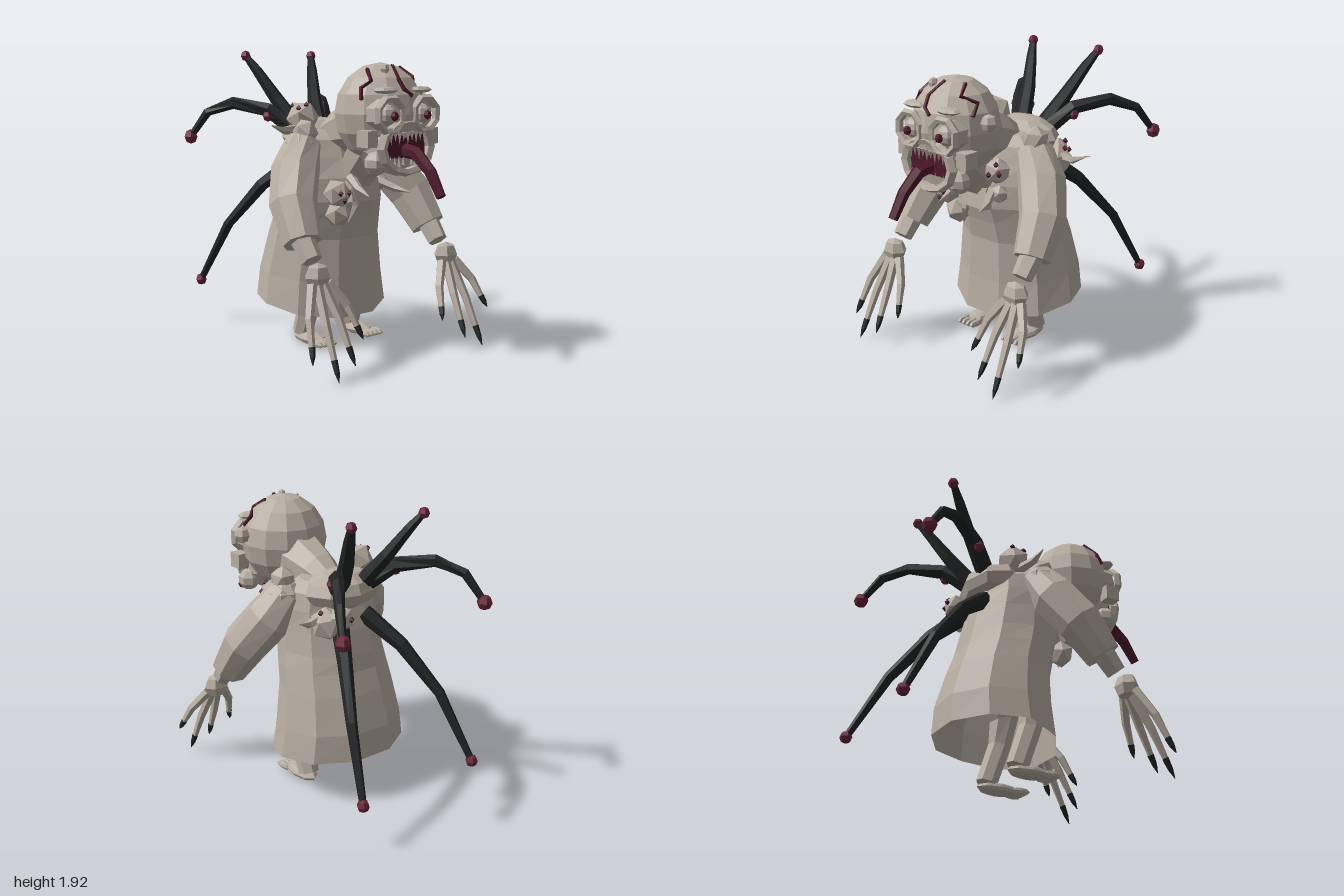
import * as THREE from 'three';

const mat = (name, color) => Object.assign(
  new THREE.MeshStandardMaterial({ color, flatShading: true, side: THREE.DoubleSide }), { name });
const V = (p) => new THREE.Vector3(...p);

// Skin over a list of rings, closed at both ends if asked
function loft(rings, capped = true) {
  const n = rings[0].length, pos = [], idx = [];
  rings.forEach((r) => r.forEach((p) => pos.push(p.x, p.y, p.z)));
  for (let i = 0; i < rings.length - 1; i++) for (let j = 0; j < n; j++) {
    const a = i * n + j, b = i * n + (j + 1) % n;
    idx.push(a, b, b + n, a, b + n, a + n);
  }
  const last = (rings.length - 1) * n;
  for (let j = 1; j < n - 1; j++) {
    if (capped) idx.push(0, j + 1, j);
    idx.push(last, last + j, last + j + 1);
  }
  const g = new THREE.BufferGeometry();
  g.setAttribute('position', new THREE.Float32BufferAttribute(pos, 3));
  g.setIndex(idx);
  g.computeVertexNormals();
  return g;
}

// Tapered tube along points, one radius per point
function limb(points, radii, sides = 6) {
  const pts = points.map(V);
  return loft(pts.map((p, i) => {
    const t = pts[Math.min(i + 1, pts.length - 1)].clone().sub(pts[Math.max(i - 1, 0)]).normalize();
    const ref = Math.abs(t.x) > 0.9 ? V([0, 1, 0]) : V([1, 0, 0]);
    const b = t.clone().cross(ref).normalize(), nrm = b.clone().cross(t);
    return Array.from({ length: sides }, (_, j) => {
      const a = (j + 0.5) / sides * Math.PI * 2;
      return p.clone().addScaledVector(nrm, Math.cos(a) * radii[i]).addScaledVector(b, Math.sin(a) * radii[i]);
    });
  }));
}

export function createModel() {
  const root = new THREE.Group();
  const skin = mat('paleSkin', 0xb8aea2), black = mat('black', 0x222425);
  const crimson = mat('crimson', 0x692439), maroon = mat('maroon', 0x4f192b);

  const add = (name, geo, material, at = [0, 0, 0], scale = [1, 1, 1], rot = [0, 0, 0]) => {
    const m = new THREE.Mesh(geo, material);
    m.name = name;
    m.position.set(...at); m.scale.set(...scale); m.rotation.set(...rot);
    root.add(m);
    return m;
  };
  const ball = (name, at, scale, material = skin, w = 8, h = 6) =>
    add(name, new THREE.SphereGeometry(1, w, h), material, at, scale);

  // Robe: ten-sided rings [y, centre z, half width, half depth, front drop], open hem
  const robe = [[0.29, -0.145, 0.46, 0.385, 0.06], [0.48, -0.15, 0.43, 0.37, 0.03],
    [0.72, -0.12, 0.39, 0.33, 0], [0.86, -0.08, 0.37, 0.32, 0], [0.97, -0.05, 0.35, 0.325, 0],
    [1.12, -0.035, 0.335, 0.3, 0], [1.25, -0.04, 0.325, 0.25, 0], [1.36, -0.05, 0.3, 0.22, 0],
    [1.42, -0.05, 0.21, 0.16, 0]];
  add('robe', loft(robe.map(([y, zc, rx, rz, drop]) => Array.from({ length: 10 }, (_, j) => {
    const a = j / 10 * Math.PI * 2, s = Math.sin(a);
    return new THREE.Vector3(rx * Math.cos(a), y - (s < -0.1 ? -s * drop * 1.4 : -s * drop * 0.3), zc - rz * s);
  })), false), skin);

  // Hunched back, neck and chest
  ball('hump', [0, 1.36, -0.18], [0.28, 0.13, 0.19]);
  add('neck', limb([[0, 1.36, -0.06], [0, 1.4, 0.06], [0, 1.46, 0.32]], [0.1, 0.14, 0.2], 8), skin);
  add('chest', new THREE.BoxGeometry(0.23, 0.14, 0.1), skin, [0, 1.04, 0.26], [1, 1, 1], [-0.15, 0, 0]);
  add('throat', limb([[0, 1.08, 0.2], [0, 1.2, 0.26], [0, 1.32, 0.38]], [0.1, 0.13, 0.16], 8), skin);

  // Head
  const C = [0, 1.54, 0.44], R = [0.29, 0.31, 0.275];
  ball('head', C, R, skin, 12, 8);
  add('muzzle', limb([[0, 1.4, 0.44], [0, 1.34, 0.6], [0, 1.33, 0.645]], [0.2, 0.185, 0.175], 10), skin);
  add('lips', new THREE.TorusGeometry(0.2, 0.035, 5, 12), skin, [0, 1.34, 0.68], [1, 0.75, 1]);
  add('mouth', new THREE.BoxGeometry(0.31, 0.14, 0.03), maroon, [0, 1.35, 0.665]);
  for (let i = 0; i < 9; i++) {
    const x = (i - 4) * 0.034, s = i % 2 ? 0.055 : 0.075;
    add('upperTooth', new THREE.ConeGeometry(0.016, s, 4), skin, [x, 1.435 - s / 2, 0.695], [1, 1, 1], [Math.PI, 0, 0]);
    if (i !== 4) add('lowerTooth', new THREE.ConeGeometry(0.014, s, 4), skin, [x, 1.265, 0.69]);
  }
  add('tongue', limb([[0, 1.33, 0.62], [0, 1.31, 0.77], [0, 1.21, 0.89], [0, 1.07, 0.98]],
    [0.046, 0.044, 0.038, 0.03], 6), maroon);
  ball('foreheadWart', [-0.07, 1.81, 0.56], [0.03, 0.035, 0.03], skin, 6, 4);
  ball('templeWart', [0.31, 1.61, 0.48], [0.055, 0.055, 0.055], skin, 6, 4);

  // Cracks lying on the skull
  [[[-0.25, 1.63], [-0.23, 1.7], [-0.18, 1.74], [-0.14, 1.81]],
    [[0.01, 1.83], [-0.03, 1.75], [-0.02, 1.69], [0.03, 1.65]],
    [[0.12, 1.82], [0.16, 1.76], [0.23, 1.72], [0.245, 1.65]]].forEach((line) => add('skullCrack',
    limb(line.map(([x, y]) => [x, y, C[2] + R[2] * Math.sqrt(
      Math.max(0.02, 1 - (x / R[0]) ** 2 - ((y - C[1]) / R[1]) ** 2))]), line.map(() => 0.013), 4), maroon));

  // Parts on both sides
  for (const s of [-1, 1]) {
    // Eyes, brows and jowls
    add('eyeSocket', limb([[s * 0.14, 1.54, 0.5], [s * 0.143, 1.54, 0.655]], [0.11, 0.1], 8), skin);
    add('eyeRim', new THREE.TorusGeometry(0.103, 0.024, 5, 8), skin, [s * 0.143, 1.54, 0.69], [1, 1, 1.2], [0, 0, Math.PI / 8]);
    ball('eyeball', [s * 0.14, 1.54, 0.66], [0.065, 0.065, 0.06]);
    ball('pupil', [s * 0.135, 1.535, 0.722], [0.029, 0.029, 0.024], maroon, 6, 4);
    ball('brow', [s * 0.14, 1.685, 0.645], [0.09, 0.022, 0.06], skin, 7, 4);
    add('cheek', new THREE.BoxGeometry(0.08, 0.1, 0.1), skin, [s * 0.25, 1.4, 0.61]);
    ball('jowl', [s * 0.18, 1.25, 0.61], [0.075, 0.075, 0.075], skin, 7, 5);

    // Arm: shoulder, wide sleeve, forearm and wrist
    ball('shoulder', [s * 0.3, 1.32, 0.03], [0.12, 0.1, 0.12], skin, 8, 5);
    add('sleeve', limb([[s * 0.27, 1.34, 0.02], [s * 0.385, 1.17, 0.08], [s * 0.495, 0.98, 0.2],
      [s * 0.53, 0.77, 0.34]], [0.12, 0.155, 0.15, 0.12], 8), skin);
    add('forearm', limb([[s * 0.53, 0.84, 0.3], [s * 0.53, 0.675, 0.435]], [0.08, 0.065], 6), skin);
    ball('wrist', [s * 0.54, 0.59, 0.5], [0.092, 0.085, 0.07], skin, 6, 4);

    // Fingers with black claws, listed by tip
    [[0.735, s > 0 ? 0.24 : 0.13, 0.7], [0.605, 0.02, 0.78], [0.465, 0.09, 0.76], [0.335, 0.21, 0.68]]
      .forEach(([x, y, z], i) => {
        const base = [s * (0.6 - i * 0.04), 0.55, 0.52];
        const tip = [s * x, y, z];
        const on = (t, bulge) => base.map((b, k) => b + (tip[k] - b) * t + (k === 0 ? s * (x - 0.54) * bulge : k === 1 ? bulge * 0.1 : 0));
        const nail = on(0.78, 0.04);
        add('finger', limb([base, on(0.45, 0.12), nail], [0.033, 0.028, 0.02], 5), skin);
        add('claw', limb([nail, on(0.9, 0.015), tip], [0.022, 0.017, 0.002], 5), black);
      });

    // Leg, foot and toes
    add('leg', limb([[s * 0.19, 0.8, -0.12], [s * 0.19, 0.52, 0.03], [s * 0.2, 0.33, 0],
      [s * 0.2, 0.07, -0.09]], [0.11, 0.1, 0.075, 0.07], 7), skin);
    ball('foot', [s * 0.2, 0.045, -0.01], [0.075, 0.04, 0.15]);
    for (let i = 0; i < 4; i++) {
      ball('toe', [s * 0.2 + (i - 1.5) * 0.037, 0.04, 0.13], [0.021, 0.025, 0.07], skin, 6, 4);
    }

    // Back tentacles with crimson end knobs
    [[[[0.07, 1.36, -0.24], [0.16, 1.6, -0.42], [0.235, 1.79, -0.54], [0.28, 1.89, -0.61]], 0.036],
      [[[0.09, 1.36, -0.24], [0.23, 1.53, -0.42], [0.38, 1.575, -0.62], [0.49, 1.51, -0.77], [0.555, 1.34, -0.885]], 0.05],
      [[[0.1, 1.2, -0.28], [0.23, 1.02, -0.5], [0.36, 0.73, -0.73], [0.45, 0.31, -0.955]], 0.041],
      [[[0.08, 1.36, -0.24], [0.16, 1.45, -0.32], [0.25, 1.49, -0.4]], 0.037]].forEach(([path, knob]) => {
      const p = path.map(([x, y, z]) => [x * s, y, z]), n = p.length - 1;
      add('tentacle', limb(p, p.map((_, i) => 0.06 - 0.038 * i / n), 6), black);
      ball('tentacleKnob', p[n], [knob, knob, knob], crimson, 6, 4);
    });
  }

  // Lumpy growths: position, radius, then directions of their small eyes
  [[[-0.18, 1.49, -0.11], 0.11, [[-0.6, 0.6, 0.4], [-0.1, 0.8, 0.5], [-0.5, 0.7, -0.3]]],
    [[0.2, 1.2, -0.29], 0.11, [[0.6, 0.8, -0.1]]],
    [[0.15, 1.24, -0.36], 0.085, [[-0.3, 0.1, -1], [0.5, 0.8, -0.5], [0.7, 0, -0.7]]],
    [[-0.225, 1.04, 0.3], 0.09, [[-0.4, 0.1, 0.9], [0.4, 0.1, 0.9], [0, -0.45, 0.9]]],
    [[-0.18, 0.9, 0.25], 0.085, []],
    [[0.2, 1.25, 0.29], 0.085, [[0.4, 0.7, 0.6], [0, -0.1, 1], [0.7, 0, 0.6]]],
    [[0.17, 1.08, 0.24], 0.06, []], [[0.3, 1.42, 0.04], 0.085, []], [[-0.28, 1.41, 0.05], 0.085, []]]
    .forEach(([at, r, eyes]) => {
      add('growth', new THREE.IcosahedronGeometry(r, 0), skin, at, [1, 1.05, 1], [0.3, at[0] * 5, 0.2]);
      eyes.forEach((d) => add('growthEye', new THREE.OctahedronGeometry(0.022), maroon,
        V(at).addScaledVector(V(d).normalize(), r * 0.93).toArray()));
    });

  // Bony spikes on the back, shoulders and chest
  [[[-0.25, 1.42, -0.08], [-0.37, 1.42, -0.06], [-0.47, 1.455, -0.05]],
    [[0.22, 1.24, -0.27], [0.34, 1.22, -0.28], [0.45, 1.26, -0.33]],
    [[-0.1, 1.06, 0.28], [-0.07, 0.95, 0.3], [-0.11, 0.84, 0.27]],
    [[0.13, 1.1, 0.26], [0.19, 1.05, 0.38], [0.22, 1.03, 0.48]],
    [[-0.1, 1.13, 0.28], [-0.12, 1.07, 0.38], [-0.12, 1.03, 0.48]]]
    .forEach((p) => add('spike', limb(p, [0.035, 0.025, 0.004], 5), skin));

  return root;
}
